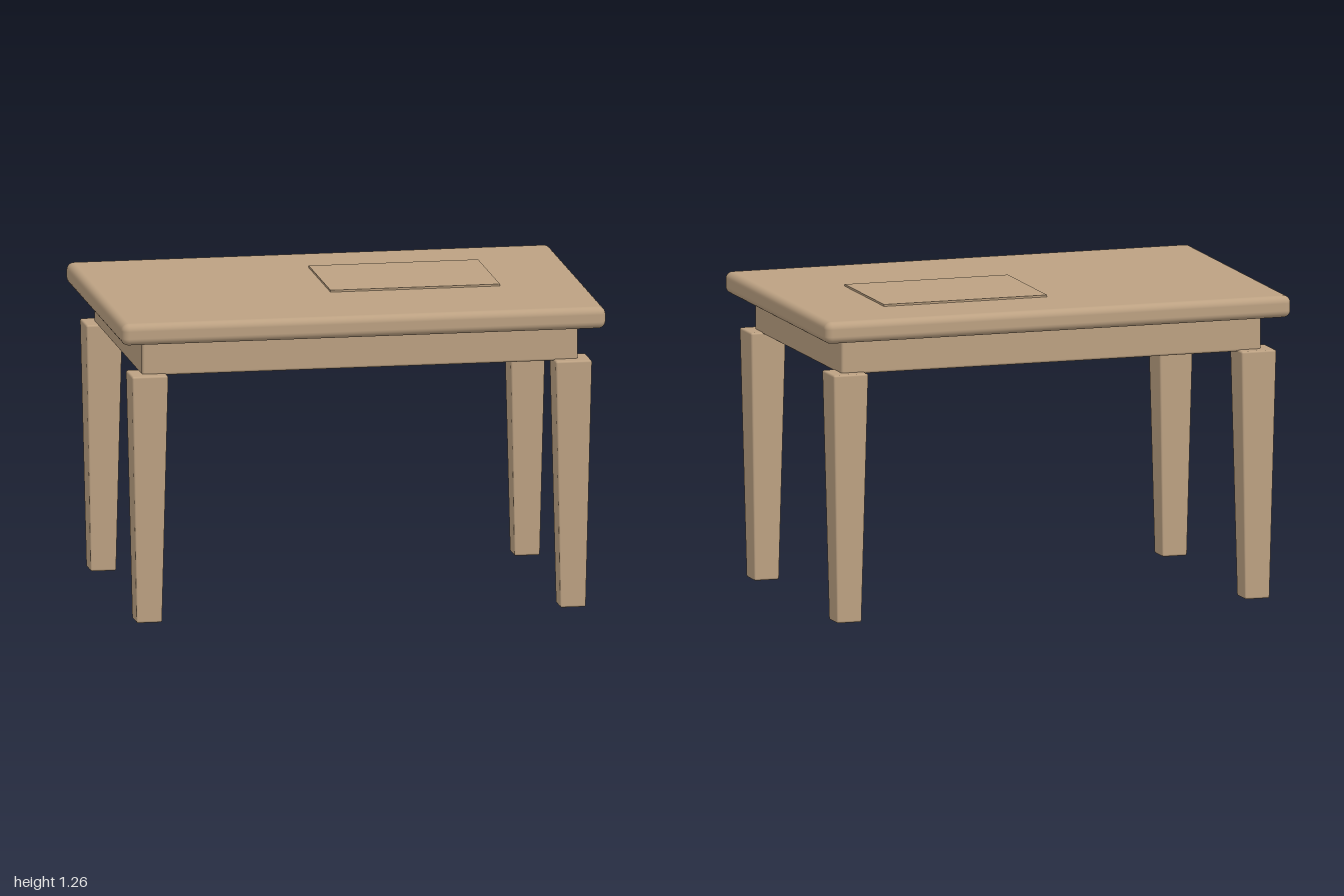
import * as THREE from 'three';
import { RoundedBoxGeometry } from 'three/addons/geometries/RoundedBoxGeometry.js';

const wood = new THREE.MeshStandardMaterial({ color: 0xbca182 });
wood.name = 'tan wood';

// Softened box given by its size, bottom height and edge radius
function slab(name, width, height, depth, bottom, radius, segments) {
  const mesh = new THREE.Mesh(new RoundedBoxGeometry(width, height, depth, segments, radius), wood);
  mesh.name = name;
  mesh.position.y = bottom + height / 2;
  return mesh;
}

// Square leg narrowing evenly towards the foot
function taperedLeg(name, topWidth, footWidth, height) {
  const leg = slab(name, topWidth, height, topWidth, 0, 0.008, 2);
  const pos = leg.geometry.attributes.position;
  for (let i = 0; i < pos.count; i++) {
    const t = pos.getY(i) / height + 0.5;
    const scale = THREE.MathUtils.lerp(footWidth / topWidth, 1, t);
    pos.setX(i, pos.getX(i) * scale);
    pos.setZ(i, pos.getZ(i) * scale);
  }
  return leg;
}

export function createModel() {
  const table = new THREE.Group();
  table.name = 'table';

  // Top board and the solid apron beneath it
  table.add(slab('tableTop', 2, 0.09, 1.3, 1.165, 0.03, 4));
  table.add(slab('apron', 1.8, 0.15, 1.1, 1.02, 0.01, 2));

  // Thin mat lying off centre on the top
  const mat = new THREE.Mesh(new THREE.BoxGeometry(0.7, 0.009, 0.5), wood);
  mat.name = 'mat';
  mat.position.set(0.3, 1.2585, -0.1);
  table.add(mat);

  // Four legs at the corners
  for (const [side, x] of [['Left', 0.875], ['Right', -0.875]]) {
    for (const [end, z] of [['front', 0.525], ['back', -0.525]]) {
      const leg = taperedLeg(`${end}${side}Leg`, 0.15, 0.105, 1.027);
      leg.position.x = x;
      leg.position.z = z;
      table.add(leg);
    }
  }
  return table;
}
